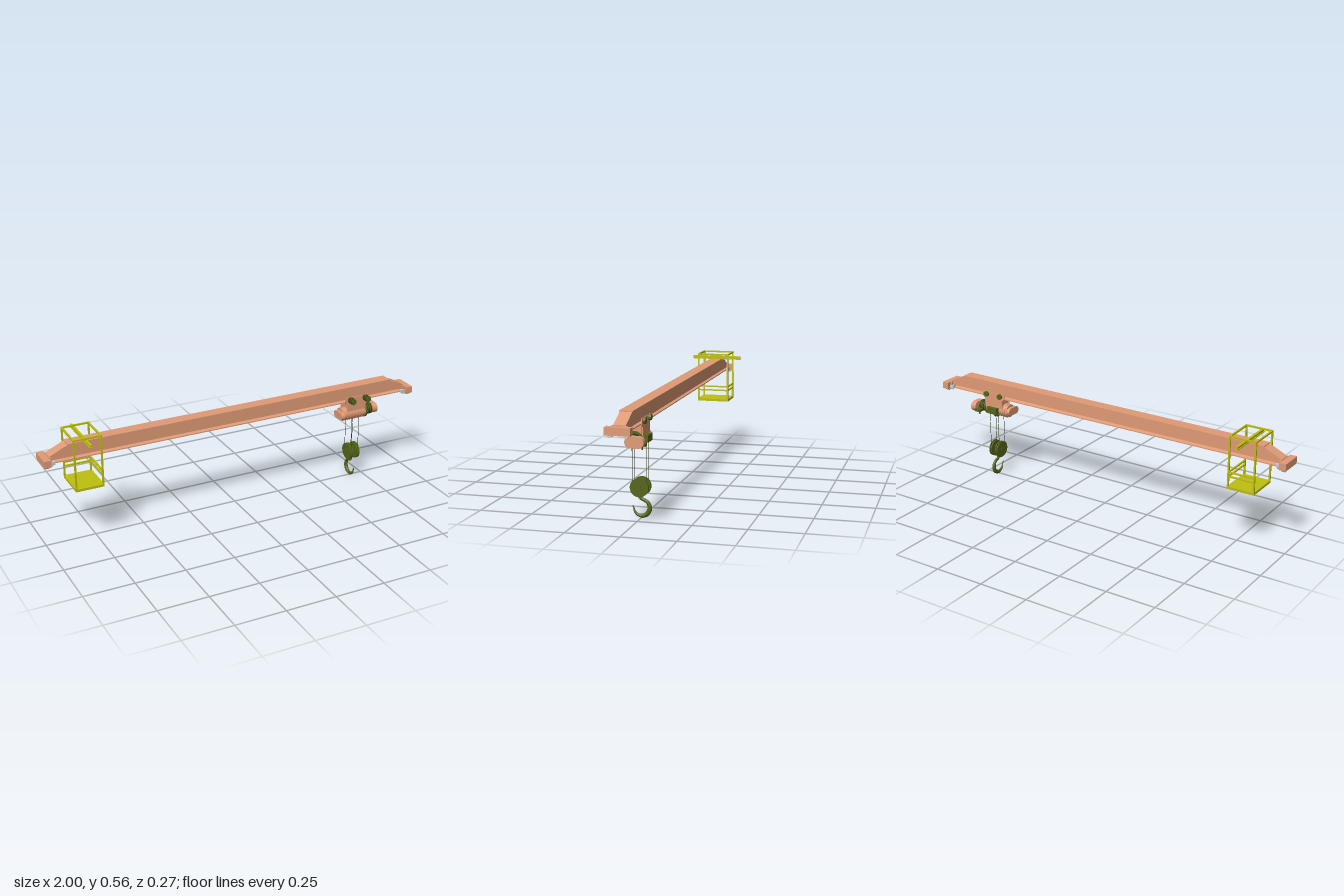
import * as THREE from 'three';

const mat = (color, extra = {}) => new THREE.MeshStandardMaterial({ color, ...extra });

export function createModel() {
  const model = new THREE.Group();
  const salmon = mat(0xe09b76), yellow = mat(0xbfbf10), olive = mat(0x55661a), grey = mat(0xcccccc), dark = mat(0x33381c);
  const ZC = 0.008; // girder centre line

  function add(name, geo, material, parent = model) {
    const m = new THREE.Mesh(geo, material);
    m.name = name;
    parent.add(m);
    return m;
  }
  // box from minimum and maximum corners
  function box(name, material, x0, x1, y0, y1, z0, z1, parent) {
    const g = new THREE.BoxGeometry(x1 - x0, y1 - y0, z1 - z0);
    g.translate((x0 + x1) / 2, (y0 + y1) / 2, (z0 + z1) / 2);
    return add(name, g, material, parent);
  }
  // cylinders along x and along z
  function cylX(name, material, r, x0, x1, y, z, parent, seg = 32) {
    const g = new THREE.CylinderGeometry(r, r, x1 - x0, seg).rotateZ(Math.PI / 2);
    g.translate((x0 + x1) / 2, y, z);
    return add(name, g, material, parent);
  }
  function cylZ(name, material, r, z0, z1, x, y, parent) {
    const g = new THREE.CylinderGeometry(r, r, z1 - z0, 24).rotateX(Math.PI / 2);
    g.translate(x, y, (z0 + z1) / 2);
    return add(name, g, material, parent);
  }
  const polygon = pts => new THREE.Shape(pts.map(p => new THREE.Vector2(...p)));
  // (z, y) outline extruded along x
  function extrudeX(shape, x0, x1) {
    return new THREE.ExtrudeGeometry(shape, { depth: x1 - x0, bevelEnabled: false, curveSegments: 16 })
      .rotateY(Math.PI / 2).translate(x0, 0, 0);
  }
  function group(name) {
    const g = new THREE.Group();
    g.name = name;
    model.add(g);
    return g;
  }

  // Girder: box body with sloping ends, cover plate and a lower running beam
  const girder = group('girder');
  const side = polygon([[-0.965, 0.455], [0.965, 0.455], [0.965, 0.475], [0.87, 0.518], [-0.87, 0.518], [-0.965, 0.475]]);
  add('girderBody', new THREE.ExtrudeGeometry(side, { depth: 0.056, bevelEnabled: false }).translate(0, 0, ZC - 0.028), salmon, girder);
  box('coverPlate', salmon, -0.875, 0.875, 0.516, 0.521, ZC - 0.031, ZC + 0.031, girder);
  const beam = polygon([[-0.026, 0.436], [0.026, 0.436], [0.026, 0.441], [0.008, 0.446], [0.026, 0.456],
    [-0.026, 0.456], [-0.008, 0.446], [-0.026, 0.441]]);
  add('runningBeam', extrudeX(beam, -0.95, 0.95).translate(0, 0, ZC), salmon, girder);

  // End carriages with wheels and bolted brackets
  for (const s of [-1, 1]) {
    const end = group('endCarriage');
    const bx = (n, m, a, b, ...rest) => box(n, m, Math.min(s * a, s * b), Math.max(s * a, s * b), ...rest, end);
    bx('carriageBeam', salmon, 0.965, 1, 0.435, 0.47, -0.049, 0.067);
    bx('joiningPlate', salmon, 0.955, 0.967, 0.437, 0.472, ZC - 0.036, ZC + 0.036);
    for (const z of [-0.027, 0.045]) {
      cylX('wheel', grey, 0.012, s * 0.982 - 0.009, s * 0.982 + 0.009, 0.435, z, end);
      bx('bracket', grey, 0.942, 0.966, 0.437, 0.454, z - 0.007, z + 0.007);
      cylX('axle', grey, 0.005, s * 0.962 - 0.012, s * 0.962 + 0.012, 0.435, z, end, 12);
    }
  }

  // Trolley: side plates, wheels and drive motors
  const trolley = group('trolley');
  const plate = polygon([[0.625, 0.385], [0.735, 0.385], [0.735, 0.425], [0.748, 0.44], [0.748, 0.465],
    [0.61, 0.465], [0.61, 0.44], [0.625, 0.425]]);
  for (const z of [ZC - 0.033, ZC + 0.029]) {
    add('sidePlate', new THREE.ExtrudeGeometry(plate, { depth: 0.004, bevelEnabled: false }).translate(0, 0, z), salmon, trolley);
  }
  box('lowerBlock', salmon, 0.63, 0.73, 0.385, 0.43, ZC - 0.026, ZC + 0.026, trolley);
  for (const x of [0.635, 0.722]) {
    cylZ('driveMotor', olive, 0.015, 0.052, 0.086, x, 0.456, trolley);
    cylZ('motorCap', olive, 0.012, 0.086, 0.089, x, 0.456, trolley);
    cylZ('motorNeck', olive, 0.01, 0.04, 0.052, x, 0.456, trolley);
    cylZ('trolleyWheel', olive, 0.014, -0.036, -0.024, x, 0.452, trolley);
    for (let i = 0; i < 4; i++) cylZ('coolingRib', dark, 0.0162, 0.056 + i * 0.008, 0.059 + i * 0.008, x, 0.456, trolley);
  }

  // Hoist: ribbed drum, motor and a stadium-shaped housing on each end
  const hoist = group('hoist');
  const HY = 0.369, HZ = 0.012;
  cylX('drumHousing', salmon, 0.034, 0.6, 0.735, HY, HZ, hoist);
  for (let i = 0; i < 7; i++) cylX('drumRib', salmon, 0.036, 0.61 + i * 0.017, 0.615 + i * 0.017, HY - 0.001, HZ, hoist);
  cylX('motorFlange', olive, 0.037, 0.735, 0.745, HY, HZ, hoist);
  cylX('hoistMotor', olive, 0.027, 0.745, 0.785, HY, HZ - 0.004, hoist);
  for (let i = 0; i < 3; i++) cylX('motorRib', dark, 0.029, 0.752 + i * 0.011, 0.756 + i * 0.011, HY, HZ - 0.004, hoist);
  function stadium(name, zA, zB, r, x0, x1) {
    const s = new THREE.Shape();
    s.absarc(-zB + r, HY, r, Math.PI / 2, Math.PI * 1.5, false);
    s.absarc(-zA - r, HY, r, -Math.PI / 2, Math.PI / 2, false);
    add(name, extrudeX(s, x0, x1), salmon, hoist);
  }
  stadium('gearHousing', -0.05, 0.037, 0.026, 0.783, 0.812);
  stadium('endHousing', -0.02, 0.06, 0.02, 0.583, 0.602);
  box('controlBox', olive, 0.65, 0.715, 0.352, 0.385, -0.043, -0.018, hoist);
  box('limitSwitch', olive, 0.755, 0.79, 0.348, 0.362, -0.05, -0.02, hoist);
  box('limitArm', dark, 0.765, 0.771, 0.33, 0.35, -0.035, -0.03, hoist);
  cylX('upperPulley', olive, 0.018, 0.672, 0.692, 0.343, 0.004, hoist);

  // Hook block: four rope falls, two sheaves and a tapered hook
  const block = group('hookBlock');
  for (const x of [0.663, 0.701]) {
    for (const z of [-0.03, 0.036]) {
      add('rope', new THREE.CylinderGeometry(0.0012, 0.0012, 0.21, 8).translate(x, 0.25, z), dark, block);
    }
    cylX('sheave', olive, 0.043, x - 0.008, x - 0.002, 0.143, 0.003, block);
    cylX('sheave', olive, 0.043, x + 0.002, x + 0.008, 0.143, 0.003, block);
    cylX('sheaveCore', dark, 0.036, x - 0.003, x + 0.003, 0.143, 0.003, block);
  }
  cylX('pulleyAxle', olive, 0.01, 0.652, 0.712, 0.143, 0.003, block);
  box('crosshead', olive, 0.674, 0.69, 0.105, 0.165, -0.009, 0.015, block);
  add('swivel', new THREE.CylinderGeometry(0.007, 0.009, 0.02, 20).translate(0.682, 0.1, 0.004), olive, block);

  // hook centre line as (z, y, radius)
  const hookPts = [[0.005, 0.105, 0.007], [0.002, 0.09, 0.008], [-0.014, 0.083, 0.008], [-0.031, 0.071, 0.009],
    [-0.039, 0.047, 0.0105], [-0.029, 0.022, 0.011], [-0.004, 0.0095, 0.0095], [0.018, 0.015, 0.007],
    [0.031, 0.029, 0.005], [0.036, 0.045, 0.003], [0.04, 0.054, 0.002]];
  const path = new THREE.CatmullRomCurve3(hookPts.map(p => new THREE.Vector3(0.682, p[1], p[0])));
  const radii = new THREE.CatmullRomCurve3(hookPts.map((p, i) => new THREE.Vector3(i, p[2], 0)));
  const N = 60, R = 14;
  const hook = new THREE.TubeGeometry(path, N, 1, R, false);
  const pos = hook.attributes.position;
  for (let i = 0; i <= N; i++) {
    const c = path.getPointAt(i / N), r = radii.getPoint(path.getUtoTmapping(i / N)).y;
    for (let j = 0; j <= R; j++) {
      const k = i * (R + 1) + j;
      pos.setXYZ(k, c.x + (pos.getX(k) - c.x) * r * 0.85, c.y + (pos.getY(k) - c.y) * r, c.z + (pos.getZ(k) - c.z) * r);
    }
  }
  hook.computeVertexNormals();
  add('hook', hook, mat(0x55661a, { side: THREE.DoubleSide }), block);
  add('hookTip', new THREE.SphereGeometry(0.0025, 12, 8).translate(0.682, 0.054, 0.04), olive, block);

  // Operator cage: floor, frame, guard rails and hanger beam
  const cage = group('cage');
  const X0 = -0.865, X1 = -0.725, Z0 = -0.08, Z1 = 0.092, Y0 = 0.295, Y1 = 0.559, T = 0.008;
  box('floor', yellow, X0, X1, Y0, Y0 + 0.012, Z0, Z1, cage);
  for (const x of [X0, X1 - T]) {
    for (const z of [Z0, Z1 - T]) box('post', yellow, x, x + T, Y0, Y1, z, z + T, cage);
    box('topRail', yellow, x, x + T, Y1 - T, Y1, Z0, Z1, cage);
  }
  for (const z of [Z0, Z1 - T]) box('topRail', yellow, X0, X1, Y1 - T, Y1, z, z + T, cage);
  for (const y of [0.353, 0.374]) {
    box('sideGuardRail', yellow, X1 - T, X1, y, y + 0.007, Z0, Z1, cage);
    box('backGuardRail', yellow, X0, X1, y, y + 0.007, Z0, Z0 + T, cage);
  }
  box('hangerBeam', yellow, -0.801, -0.789, 0.522, 0.526, -0.133, 0.134, cage);
  box('hangerBeam', yellow, -0.797, -0.793, 0.525, 0.537, -0.133, 0.134, cage);
  box('hangerBeam', yellow, -0.801, -0.789, 0.536, 0.54, -0.133, 0.134, cage);

  return model;
}
